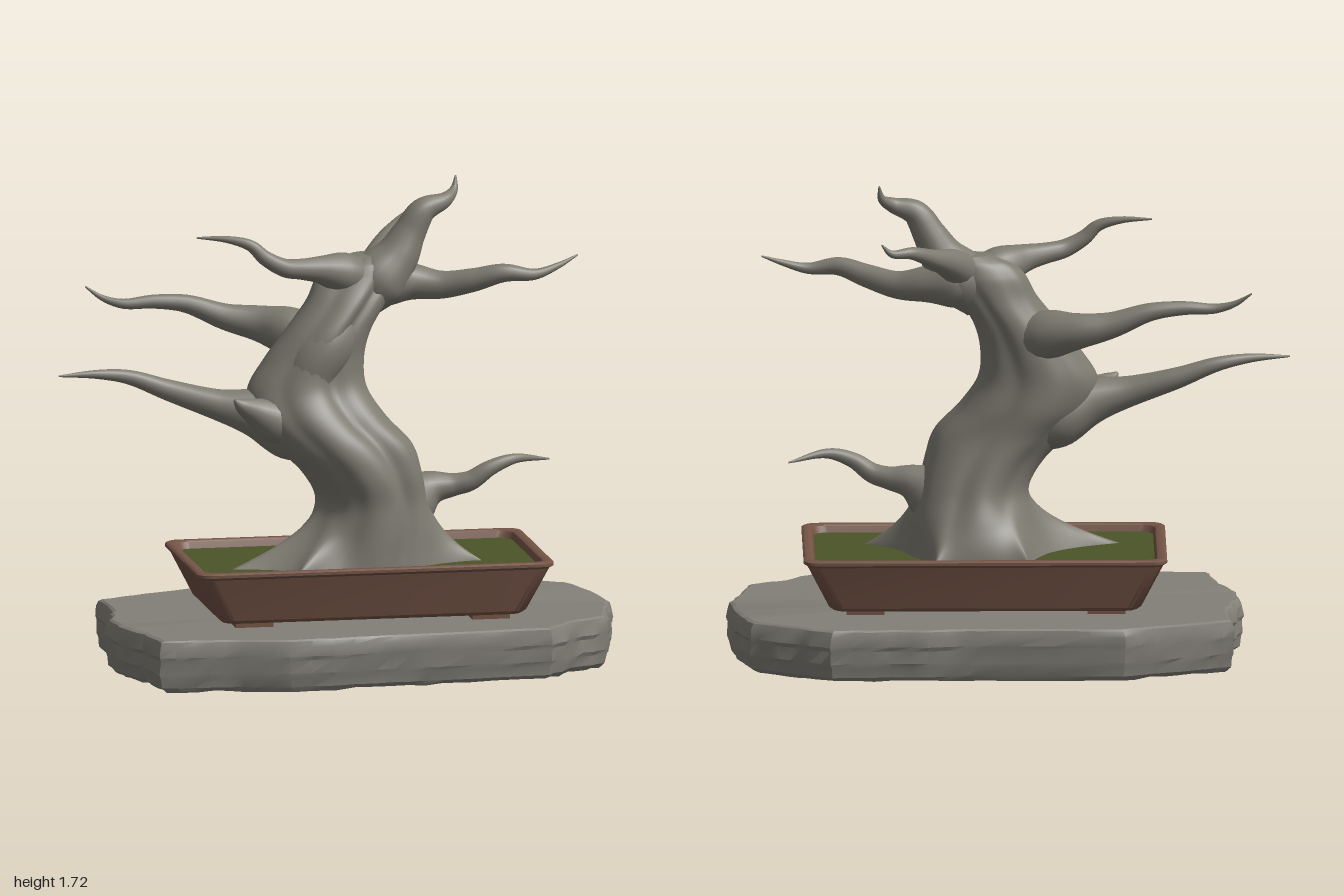
import * as THREE from 'three';
import { toCreasedNormals } from 'three/addons/utils/BufferGeometryUtils.js';

const mat = (name, color) => {
  const m = new THREE.MeshStandardMaterial({ color });
  m.name = name;
  return m;
};

// Skin a list of equal-length closed rings, with fan caps at the chosen ends
function skin(rings, capStart = true, capEnd = true) {
  const n = rings[0].length, pos = [], idx = [];
  rings.forEach(r => r.forEach(p => pos.push(p.x, p.y, p.z)));
  for (let i = 0; i < rings.length - 1; i++) {
    for (let j = 0; j < n; j++) {
      const a = i * n + j, b = i * n + (j + 1) % n, c = a + n, d = b + n;
      idx.push(a, c, b, b, c, d);
    }
  }
  const cap = (ring, base, flip) => {
    const c = new THREE.Vector3();
    ring.forEach(p => c.add(p));
    c.divideScalar(n);
    const k = pos.length / 3;
    pos.push(c.x, c.y, c.z);
    for (let j = 0; j < n; j++) {
      const a = base + j, b = base + (j + 1) % n;
      flip ? idx.push(k, b, a) : idx.push(k, a, b);
    }
  };
  if (capStart) cap(rings[0], 0, false);
  if (capEnd) cap(rings[rings.length - 1], (rings.length - 1) * n, true);
  const g = new THREE.BufferGeometry();
  g.setAttribute('position', new THREE.Float32BufferAttribute(pos, 3));
  g.setIndex(idx);
  g.computeVertexNormals();
  return g;
}

// Tapered limb through points [x, y, z, radius]
function limb(points, sides = 16) {
  const path = new THREE.CatmullRomCurve3(points.map(p => new THREE.Vector3(p[0], p[1], p[2])));
  const radius = new THREE.CatmullRomCurve3(points.map((p, i) => new THREE.Vector3(i, p[3], 0)), false, 'catmullrom', 0.5);
  const steps = (points.length - 1) * 7, rings = [];
  const e1 = new THREE.Vector3(0.13, 0.21, 1);
  for (let i = 0; i <= steps; i++) {
    const t = i / steps, c = path.getPoint(t), T = path.getTangent(t);
    e1.addScaledVector(T, -e1.dot(T)).normalize();
    const e2 = e1.clone().cross(T), r = Math.max(0.002, radius.getPoint(t).y);
    rings.push(Array.from({ length: sides }, (_, j) => {
      const a = j / sides * Math.PI * 2;
      return c.clone().addScaledVector(e1, r * Math.cos(a)).addScaledVector(e2, r * Math.sin(a));
    }));
  }
  return skin(rings);
}

// Rounded rectangle ring around the pot centre
function rectRing(hx, hz, y, r = 0.05) {
  const ring = [];
  for (let q = 0; q < 4; q++) {
    const sx = q === 0 || q === 3 ? 1 : -1, sz = q < 2 ? 1 : -1;
    for (let k = 0; k <= 5; k++) {
      const a = (q + k / 5) * Math.PI / 2;
      ring.push(new THREE.Vector3(0.085 + sx * (hx - r) + r * Math.cos(a), y, sz * (hz - r) + r * Math.sin(a)));
    }
  }
  return ring;
}

// Trunk stations: y, centre x, half width, centre z, half depth
const TRUNK = [
  [0.35, 0.11, 0.25, -0.01, 0.25], [0.42, 0.12, 0.23, -0.01, 0.245], [0.5, 0.13, 0.212, -0.003, 0.232],
  [0.6, 0.128, 0.195, 0.01, 0.212], [0.7, 0.09, 0.212, 0.026, 0.205], [0.8, 0.022, 0.245, 0.03, 0.195],
  [0.9, -0.06, 0.235, 0.01, 0.183], [1.0, -0.1, 0.212, -0.015, 0.154], [1.1, -0.075, 0.178, -0.025, 0.145],
  [1.2, -0.025, 0.152, -0.03, 0.142], [1.3, 0.045, 0.145, -0.045, 0.122], [1.38, 0.095, 0.155, -0.065, 0.1],
  [1.43, 0.12, 0.13, -0.07, 0.08], [1.46, 0.14, 0.07, -0.075, 0.05],
];

// Root tips on the soil: x, z
const ROOTS = [[-0.42, 0.11], [-0.2, 0.29], [0.52, 0.11], [-0.08, -0.32], [0.27, -0.3]];

// Grooves running up the trunk: angle, width, depth
const GROOVES = [[1.1, 0.22, 0.15], [2.1, 0.2, 0.05], [-0.1, 0.25, 0.04], [-1.25, 0.22, 0.08], [-2.2, 0.25, 0.05]];

const bell = (d, width) => Math.exp(-((Math.atan2(Math.sin(d), Math.cos(d)) / width) ** 2));

function trunkGeometry() {
  const centre = new THREE.CatmullRomCurve3(TRUNK.map(s => new THREE.Vector3(s[1], s[0], s[3])));
  const half = new THREE.CatmullRomCurve3(TRUNK.map((s, i) => new THREE.Vector3(s[2], i, s[4])));
  const rings = [], steps = 90, sides = 90;
  for (let i = 0; i <= steps; i++) {
    const c = centre.getPoint(i / steps), h = half.getPoint(i / steps);
    // roots spread out of the lowest part
    const spread = Math.min(1, Math.max(0, (0.62 - c.y) / 0.255) ** 2.4);
    rings.push(Array.from({ length: sides }, (_, j) => {
      const a = j / sides * Math.PI * 2;
      let f = 1.01 + 0.02 * Math.cos(5 * a + c.y * 4);
      for (const [angle, width, depth] of GROOVES) f -= depth * bell(a - angle - 0.1 * Math.sin(c.y * 7), width);
      const v = new THREE.Vector3(c.x + h.x * f * Math.cos(a), c.y, c.z + h.z * f * Math.sin(a));
      const heading = Math.atan2(v.z, v.x - 0.08);
      for (const [x, z] of ROOTS) {
        const w = spread * bell(heading - Math.atan2(z, x - 0.08), 0.32);
        v.x += (x - v.x) * w;
        v.z += (z - v.z) * w;
      }
      return v;
    }));
  }
  return skin(rings);
}

const LIMBS = {
  lowerRightBranch: [[0, 0.8, 0, 0.08], [-0.16, 0.865, 0, 0.125], [-0.3, 0.915, 0, 0.085], [-0.43, 0.947, -0.01, 0.055], [-0.6, 1.0, -0.035, 0.038],
    [-0.74, 1.05, -0.04, 0.026], [-0.86, 1.068, -0.02, 0.016], [-1, 1.07, 0, 0.003]],
  middleRightBranch: [[0, 1.13, -0.04, 0.06], [-0.13, 1.175, -0.12, 0.088], [-0.24, 1.2, -0.18, 0.066], [-0.36, 1.225, -0.2, 0.048],
    [-0.5, 1.275, -0.21, 0.033], [-0.62, 1.288, -0.205, 0.025], [-0.73, 1.285, -0.2, 0.018], [-0.8, 1.305, -0.215, 0.011], [-0.86, 1.345, -0.235, 0.003]],
  upperRightBranch: [[0.14, 1.36, -0.06, 0.06], [0.03, 1.4, -0.025, 0.075], [-0.06, 1.425, 0.02, 0.05], [-0.13, 1.435, 0.05, 0.038], [-0.2, 1.447, 0.075, 0.033],
    [-0.27, 1.485, 0.08, 0.027], [-0.32, 1.53, 0.075, 0.021], [-0.4, 1.553, 0.06, 0.013], [-0.51, 1.56, 0.04, 0.003]],
  upperLeftBranch: [[0.08, 1.36, -0.07, 0.06], [0.19, 1.36, -0.08, 0.092], [0.29, 1.352, -0.08, 0.066], [0.39, 1.342, -0.05, 0.05], [0.5, 1.365, 0, 0.042],
    [0.6, 1.393, 0.035, 0.033], [0.71, 1.385, 0.04, 0.02], [0.8, 1.41, 0.02, 0.011], [0.875, 1.44, -0.01, 0.003]],
  lowerLeftBranch: [[0.17, 0.53, 0, 0.07], [0.27, 0.58, 0, 0.105], [0.35, 0.62, 0, 0.062], [0.42, 0.63, 0.01, 0.042], [0.48, 0.645, 0.025, 0.036],
    [0.55, 0.69, 0.035, 0.028], [0.64, 0.718, 0.02, 0.018], [0.78, 0.7, -0.05, 0.003]],
  backBranch: [[0.13, 1.37, -0.05, 0.06], [0.19, 1.43, -0.15, 0.06], [0.27, 1.49, -0.31, 0.035],
    [0.35, 1.53, -0.4, 0.022], [0.42, 1.535, -0.435, 0.013], [0.455, 1.57, -0.45, 0.003]],
  crownBranch: [[0.1, 1.27, -0.055, 0.06], [0.16, 1.36, -0.065, 0.105], [0.235, 1.45, -0.07, 0.08], [0.28, 1.53, -0.075, 0.06], [0.33, 1.608, -0.075, 0.047],
    [0.41, 1.64, -0.09, 0.028], [0.45, 1.67, -0.125, 0.015], [0.46, 1.718, -0.14, 0.003]],
  brokenStub: [[-0.14, 0.83, 0.03, 0.05], [-0.23, 0.89, 0.06, 0.08], [-0.31, 0.935, 0.09, 0.05], [-0.365, 0.965, 0.12, 0.026], [-0.39, 0.985, 0.13, 0.006]],
  trunkKnob: [[-0.1, 0.88, 0, 0.03], [-0.12, 0.99, 0.02, 0.09], [-0.09, 1.08, 0.03, 0.1], [-0.03, 1.16, 0.025, 0.098], [0.005, 1.23, 0.005, 0.08], [0.03, 1.3, -0.03, 0.04]],
};

// Slab outline: x, z
const OUTLINE = [
  [1, 0], [0.96, 0.15], [0.93, 0.29], [0.8, 0.36], [0.69, 0.485], [0.3, 0.51], [0.05, 0.525], [-0.27, 0.548], [-0.5, 0.5],
  [-0.73, 0.48], [-0.76, 0.3], [-0.82, 0.15], [-0.835, 0], [-0.79, -0.14], [-0.8, -0.37], [-0.62, -0.45], [-0.41, -0.535],
  [0.1, -0.525], [0.35, -0.54], [0.64, -0.55], [0.78, -0.465], [0.92, -0.38], [0.98, -0.2],
];

function slabGeometry() {
  let seed = 7;
  const rand = () => (seed = (seed * 16807) % 2147483647) / 2147483647 - 0.5;
  const pts = [];
  OUTLINE.forEach((p, i) => {
    const q = OUTLINE[(i + 1) % OUTLINE.length];
    for (let k = 0; k < 4; k++) {
      const t = k / 4, w = k ? 0.014 : 0;
      pts.push([p[0] + (q[0] - p[0]) * t + rand() * w, p[1] + (q[1] - p[1]) * t + rand() * w]);
    }
  });
  // weathered edge: height, inset
  const layers = [[0.004, 0.962], [0.02, 0.982], [0.055, 0.99], [0.07, 0.997], [0.115, 0.993], [0.13, 1], [0.165, 0.994], [0.184, 0.985], [0.19, 0.972]];
  return toCreasedNormals(skin(layers.map(([y, s], i) => pts.map(([x, z]) => {
    const f = s + (i > 0 && i < 8 ? rand() * 0.008 : 0);
    return new THREE.Vector3(0.08 + (x - 0.08) * f, i === 0 ? y + rand() * 0.008 : y, z * f);
  }))), 0.4);
}

export function createModel() {
  const model = new THREE.Group();
  model.name = 'bonsai';
  const bark = mat('bark', 0x7d7a70), stone = mat('stone', 0x827f77);
  const clay = mat('clay', 0x745446), moss = mat('moss', 0x4a5428);
  const add = (name, geometry, material, parent = model) => {
    const m = new THREE.Mesh(geometry, material);
    m.name = name;
    parent.add(m);
    return m;
  };

  add('stoneSlab', slabGeometry(), stone);

  // Pot: flared outside, flat rim, hollow inside
  const potRings = [[0.54, 0.28, 0.207], [0.555, 0.295, 0.22], [0.632, 0.332, 0.375], [0.645, 0.346, 0.385], [0.645, 0.346, 0.395],
    [0.638, 0.339, 0.4], [0.618, 0.319, 0.4], [0.61, 0.312, 0.395], [0.595, 0.297, 0.35]];
  add('pot', toCreasedNormals(skin(potRings.map(r => rectRing(...r)), true, false), 0.6), clay);
  add('mossSoil', toCreasedNormals(skin([rectRing(0.59, 0.292, 0.35), rectRing(0.603, 0.305, 0.372)]), 0.6), moss);
  for (const x of [-0.345, 0.51]) {
    for (const z of [-0.205, 0.22]) {
      add('potFoot', new THREE.BoxGeometry(0.135, 0.03, 0.1), clay).position.set(x, 0.2, z);
    }
  }

  // Tree: trunk with spreading roots, and branches
  const tree = new THREE.Group();
  tree.name = 'tree';
  model.add(tree);
  add('trunk', trunkGeometry(), bark, tree);
  for (const [name, points] of Object.entries(LIMBS)) add(name, limb(points), bark, tree);
  return model;
}
